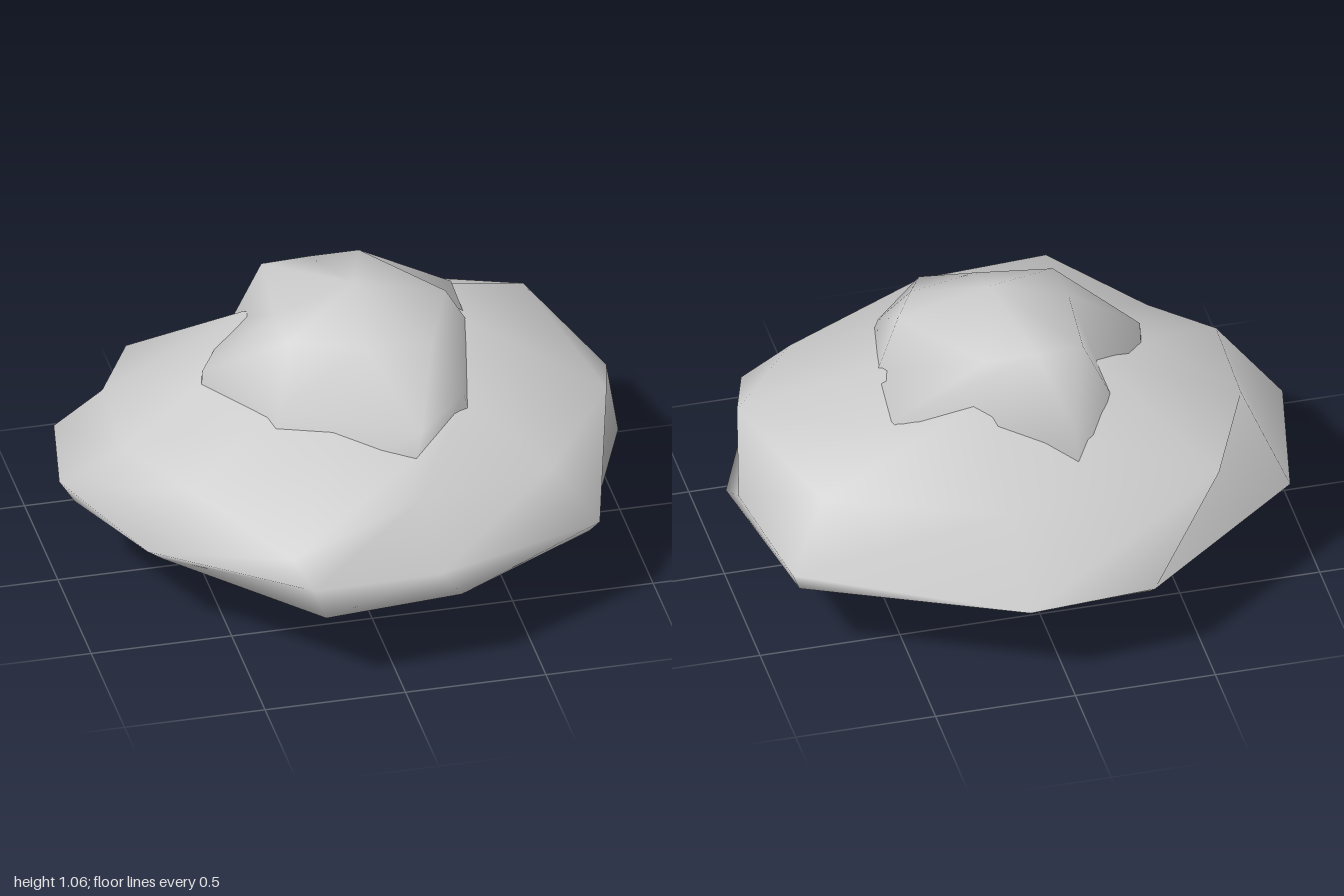
import * as THREE from 'three';

// Smooth closed skin over loops of [x, y, z] points, listed bottom to top
// and running from +x towards +z, closed by a point at each end.
function loft(name, bottom, rings, top, material) {
  const n = rings[0].length;
  const points = [bottom, ...rings.flat(), top];
  const last = points.length - 1;
  const index = [];
  const at = (r, i) => 1 + r * n + (i % n);
  for (let i = 0; i < n; i++) {
    index.push(0, at(0, i), at(0, i + 1));
    for (let r = 0; r < rings.length - 1; r++) {
      const a = at(r, i), b = at(r, i + 1), c = at(r + 1, i + 1), d = at(r + 1, i);
      index.push(a, d, b, b, d, c);
    }
    index.push(at(rings.length - 1, i), last, at(rings.length - 1, i + 1));
  }
  const geometry = new THREE.BufferGeometry();
  geometry.setAttribute('position', new THREE.Float32BufferAttribute(points.flat(), 3));
  geometry.setIndex(index);
  geometry.computeVertexNormals();
  const mesh = new THREE.Mesh(geometry, material);
  mesh.name = name;
  return mesh;
}

export function createModel() {
  const group = new THREE.Group();
  group.name = 'rockFormation';
  const material = new THREE.MeshStandardMaterial({ color: 0xcccccc });

  // Central boulder, a rough ball standing on the ground
  const boulderRings = [
    [[0.32, 0.02, 0], [0.2, 0.03, 0.26], [0, 0.02, 0.31], [-0.16, 0.03, 0.24],
      [-0.28, 0.02, 0], [-0.2, 0.03, -0.2], [0, 0.02, -0.32], [0.2, 0.03, -0.25]],
    [[0.58, 0.2, 0.02], [0.38, 0.21, 0.39], [0.02, 0.2, 0.5], [-0.3, 0.2, 0.33],
      [-0.38, 0.2, 0], [-0.35, 0.22, -0.28], [-0.12, 0.25, -0.54], [0.34, 0.22, -0.28]],
    [[0.54, 0.45, 0], [0.43, 0.45, 0.42], [0.1, 0.47, 0.58], [-0.36, 0.45, 0.38],
      [-0.51, 0.45, 0.02], [-0.42, 0.45, -0.35], [-0.14, 0.45, -0.57], [0.43, 0.45, -0.33]],
    [[0.47, 0.81, -0.06], [0.37, 0.75, 0.32], [0.17, 0.75, 0.53], [-0.28, 0.75, 0.28],
      [-0.49, 0.79, 0.02], [-0.3, 0.76, -0.34], [-0.12, 0.78, -0.53], [0.48, 0.8, -0.34]],
    [[0.38, 0.98, 0], [0.28, 0.92, 0.22], [0.04, 0.94, 0.25], [-0.22, 0.96, 0.18],
      [-0.23, 0.97, 0], [-0.2, 0.98, -0.32], [-0.03, 0.98, -0.33], [0.15, 0.98, -0.33]],
  ];
  group.add(loft('boulder', [0.04, 0, 0], boulderRings, [0.05, 1.06, 0], material));

  // Wide slab around it: flat underside, sharp rim, shoulder and sloping top
  const rim = [[0.99, 0.34, 0.02], [0.75, 0.31, 0.6], [0.22, 0.32, 0.92], [-0.27, 0.31, 0.95],
    [-0.73, 0.31, 0.44], [-0.94, 0.31, 0], [-0.85, 0.31, -0.42], [-0.3, 0.31, -0.88],
    [0.15, 0.31, -0.9], [0.88, 0.32, -0.58]];
  const slabRings = [
    rim.map(([x, , z]) => [x * 0.6, 0.31, z * 0.6]),
    rim,
    [[1, 0.47, -0.2], [0.78, 0.36, 0.63], [0.15, 0.4, 0.9], [-0.3, 0.4, 0.91], [-0.79, 0.36, 0.46],
      [-1, 0.41, 0.02], [-0.91, 0.35, -0.44], [-0.31, 0.33, -0.9], [0.15, 0.35, -0.96], [0.91, 0.4, -0.61]],
    [[0.92, 0.59, 0.14], [0.63, 0.54, 0.53], [0.12, 0.6, 0.72], [-0.37, 0.51, 0.87], [-0.62, 0.56, 0.43],
      [-0.8, 0.61, 0.17], [-0.79, 0.61, -0.22], [-0.62, 0.55, -0.58], [0.15, 0.58, -0.69], [0.78, 0.64, -0.52]],
    [[0.45, 0.83, -0.05], [0.38, 0.72, 0.3], [0.15, 0.66, 0.54], [-0.14, 0.67, 0.48], [-0.36, 0.69, 0.26],
      [-0.51, 0.73, 0.02], [-0.28, 0.84, -0.25], [-0.22, 0.68, -0.5], [0.15, 0.86, -0.37], [0.47, 0.78, -0.36]],
  ];
  group.add(loft('slab', [0, 0.31, 0], slabRings, [0, 0.88, 0], material));

  return group;
}
